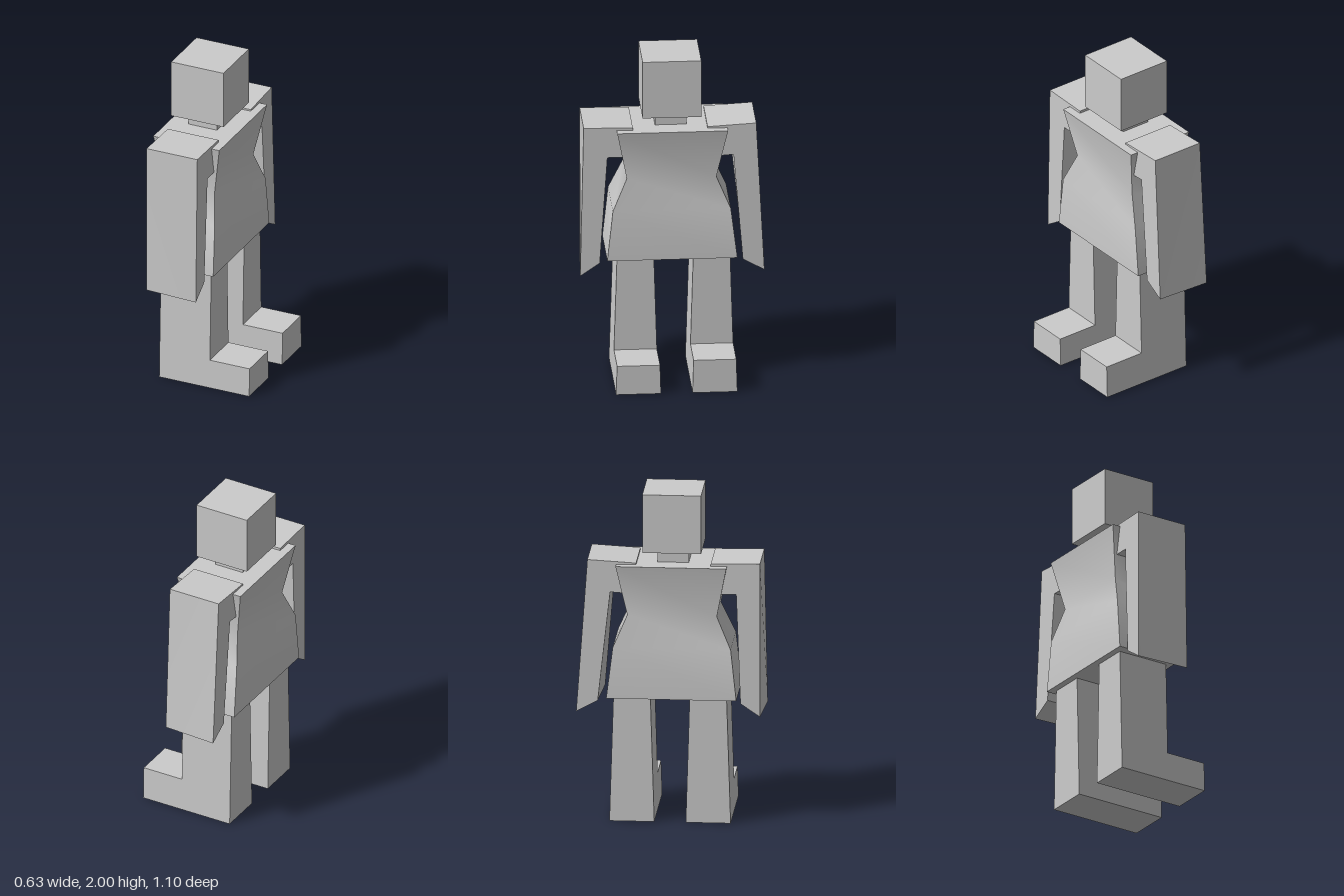
import * as THREE from 'three';
import { toCreasedNormals } from 'three/addons/utils/BufferGeometryUtils.js';

const material = new THREE.MeshStandardMaterial({ color: 0xcccccc });

// Joins matching rings of [x, y, z] points into a closed solid; `drop` is the axis the caps face.
function loft(rings, drop) {
  const n = rings[0].length;
  const flat = rings[0].map((p) => new THREE.Vector2(...p.filter((_, i) => i !== drop)));
  const tris = [];
  const clockwise = THREE.ShapeUtils.isClockWise(flat);
  const caps = THREE.ShapeUtils.triangulateShape(flat, []);
  const last = rings[rings.length - 1];
  for (const [a, b, c] of caps) {
    // Caps follow the ring direction, whichever way the triangulation turned
    const turn = THREE.ShapeUtils.area([flat[a], flat[b], flat[c]]) < 0;
    const [p, q] = turn === clockwise ? [b, c] : [c, b];
    tris.push([rings[0][a], rings[0][q], rings[0][p]], [last[a], last[p], last[q]]);
  }
  for (let r = 0; r + 1 < rings.length; r++) {
    for (let i = 0; i < n; i++) {
      const j = (i + 1) % n;
      const [a, b, c, d] = [rings[r][i], rings[r][j], rings[r + 1][j], rings[r + 1][i]];
      tris.push([a, b, c], [a, c, d]);
    }
  }
  // Turn the solid outside out if its signed volume is negative
  let volume = 0;
  for (const t of tris) {
    const [a, b, c] = t.map((p) => new THREE.Vector3(...p));
    volume += a.dot(b.cross(c));
  }
  if (volume < 0) tris.forEach((t) => t.reverse());
  const geometry = new THREE.BufferGeometry();
  geometry.setAttribute('position', new THREE.Float32BufferAttribute(tris.flat(2), 3));
  return toCreasedNormals(geometry, 0.7);
}

export function createModel() {
  const model = new THREE.Group();
  model.name = 'blockFigure';
  const add = (name, geometry) => {
    const mesh = new THREE.Mesh(geometry, material);
    mesh.name = name;
    model.add(mesh);
    return mesh;
  };
  const box = (name, x0, x1, y0, y1, z0, z1) =>
    add(name, new THREE.BoxGeometry(x1 - x0, y1 - y0, z1 - z0))
      .position.set((x0 + x1) / 2, (y0 + y1) / 2, (z0 + z1) / 2);

  // Head and neck
  box('head', -0.275, 0.065, 1.645, 2, -0.163, 0.183);
  box('neck', -0.2, -0.015, 1.5, 1.66, -0.08, 0.105);

  // Torso pinched at the waist: y, x range, z range
  const torso = [
    [0.76, -0.31, 0.098, -0.373, 0.393],
    [1.07, -0.305, 0.092, -0.335, 0.36],
    [1.26, -0.263, 0.052, -0.252, 0.275],
    [1.57, -0.32, 0.11, -0.318, 0.335],
  ].map(([y, x0, x1, z0, z1]) => [[x0, y, z0], [x1, y, z0], [x1, y, z1], [x0, y, z1]]);
  add('torso', loft(torso, 1));

  // Arms: bent profile (z, y) swept across x, the hand ends skewed slightly
  const arm = (name, profile, skew) => {
    const ring = (x, s) => profile.map(([z, y]) => [x, y, z + (y < 1 ? s : 0)]);
    add(name, loft([ring(-0.27, skew), ring(0.06, 0)], 0));
  };
  arm('armPlusZ', [[0.24, 1.585], [0.53, 1.59], [0.55, 0.655],
    [0.435, 0.733], [0.39, 1.4], [0.24, 1.4]], -0.02);
  arm('armMinusZ', [[-0.2, 1.58], [-0.487, 1.595], [-0.535, 0.665],
    [-0.408, 0.735], [-0.353, 1.4], [-0.2, 1.39]], -0.018);

  // Legs with feet: L-shaped side outline, narrowing upwards
  for (const [name, side, toe] of [['legPlusZ', 1, 0.18], ['legMinusZ', -1, 0.205]]) {
    const outline = [[-0.27, 0], [0.315, 0], [0.315, toe], [0.057, toe], [0.057, 0.78], [-0.27, 0.78]];
    const ring = (z, lean) => outline.map(([x, y]) => [x, y, side * (z + lean * y)]);
    add(name, loft([ring(0.093, 0.03), ring(0.357, -0.031)], 2));
  }
  return model;
}
